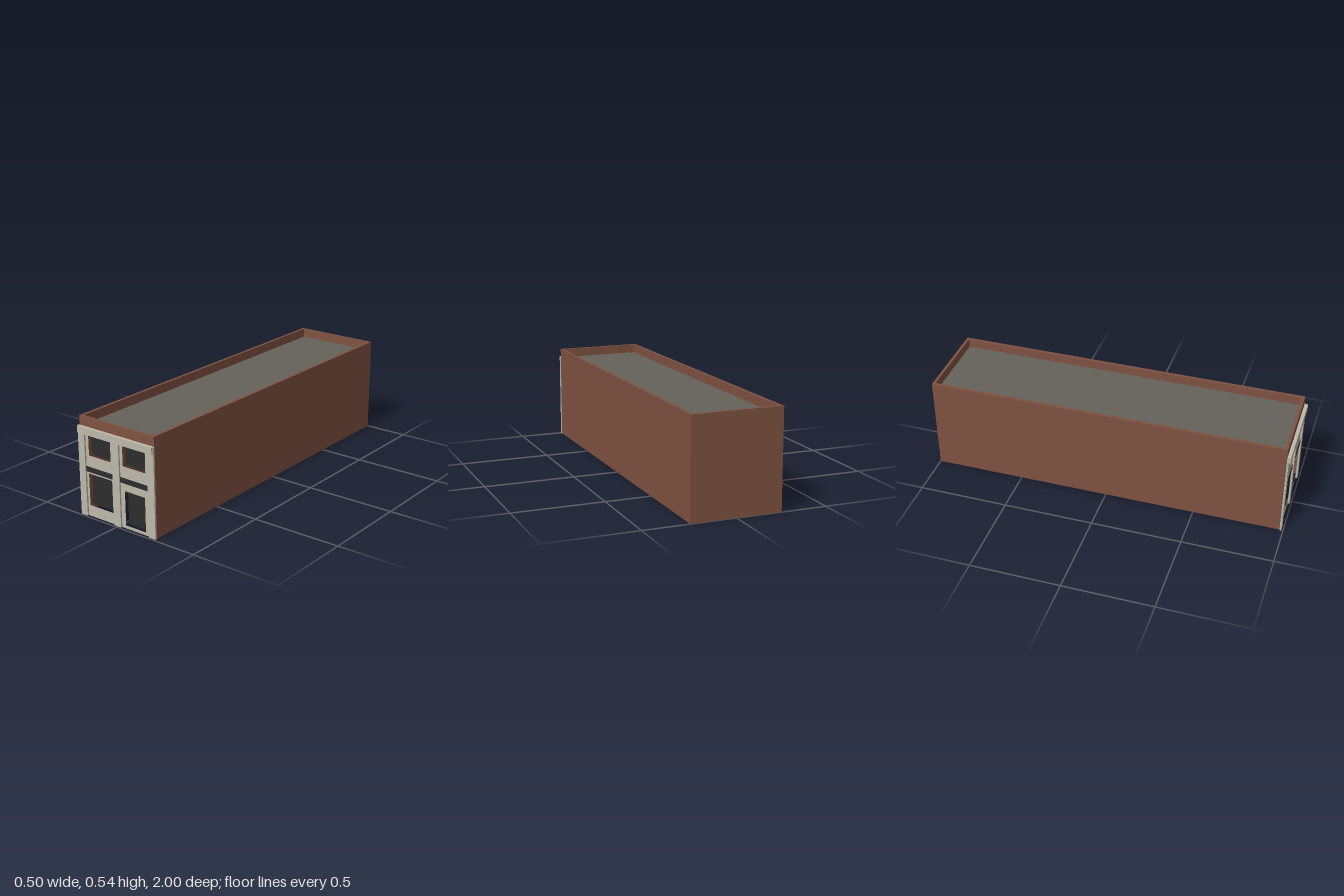
import * as THREE from 'three';

const mat = (name, color) => {
  const m = new THREE.MeshStandardMaterial({ color, side: THREE.DoubleSide });
  m.name = name;
  return m;
};

export function createModel() {
  const model = new THREE.Group();
  model.name = 'rowBuilding';
  const brick = mat('brick', 0x7f5241);
  const stone = mat('stone', 0xbdb8a9);
  const roofing = mat('roofing', 0x65625b);
  const glass = mat('darkGlass', 0x2d2d2d);

  const W = 0.248, BACK = -1, FRONT = 0.98, ROOF = 0.49, TOP = 0.54, T = 0.016;
  const MID = (FRONT + BACK) / 2, LEN = FRONT - BACK;

  const add = (name, geometry, material, parent = model) => {
    const mesh = new THREE.Mesh(geometry, material);
    mesh.name = name;
    parent.add(mesh);
    return mesh;
  };
  // Box given by its lower and upper limits
  const box = (name, material, x0, x1, y0, y1, z0, z1) =>
    add(name, new THREE.BoxGeometry(x1 - x0, y1 - y0, z1 - z0), material)
      .position.set((x0 + x1) / 2, (y0 + y1) / 2, (z0 + z1) / 2);

  // Thin shell: side and back walls, open underneath
  for (const [side, name] of [[1, 'leftWall'], [-1, 'rightWall']]) {
    const wall = add(name, new THREE.PlaneGeometry(LEN, ROOF), brick);
    wall.rotation.y = side * Math.PI / 2;
    wall.position.set(side * W, ROOF / 2, MID);
  }
  const back = add('backWall', new THREE.PlaneGeometry(2 * W, ROOF), brick);
  back.rotation.y = Math.PI;
  back.position.set(0, ROOF / 2, BACK);

  // Flat roof
  const roof = add('roof', new THREE.PlaneGeometry(2 * W - 0.004, LEN - 0.004), roofing);
  roof.rotation.x = -Math.PI / 2;
  roof.position.set(0, ROOF, MID);

  // Parapet: one ring standing on the walls
  const rect = (Cls, x0, x1, y0, y1) => new Cls().moveTo(x0, y0).lineTo(x1, y0).lineTo(x1, y1).lineTo(x0, y1).closePath();
  const ring = rect(THREE.Shape, -W, W, -LEN / 2, LEN / 2);
  ring.holes.push(rect(THREE.Path, -W + T, W - T, -LEN / 2 + T, LEN / 2 - T));
  const parapet = add('parapet', new THREE.ExtrudeGeometry(ring, { depth: TOP - ROOF, bevelEnabled: false }), brick);
  parapet.rotation.x = -Math.PI / 2;
  parapet.position.set(0, ROOF, MID);

  // Front wall sheet with openings; the panes sit a little behind it
  const openings = [
    ['upperRightWindow', -0.19, -0.041, 0.337, 0.465],
    ['upperLeftWindow', 0.04, 0.189, 0.337, 0.465],
    ['shopWindow', -0.196, -0.036, 0.061, 0.237],
    ['door', 0.049, 0.182, 0.017, 0.205],
  ];
  const sheet = rect(THREE.Shape, -0.25, 0.25, 0, ROOF);
  for (const [name, x0, x1, y0, y1] of openings) {
    sheet.holes.push(rect(THREE.Path, x0, x1, y0, y1));
    const pane = add(name, new THREE.PlaneGeometry(x1 - x0, y1 - y0), glass);
    pane.position.set((x0 + x1) / 2, (y0 + y1) / 2, 0.96);
  }
  add('frontWall', new THREE.ShapeGeometry(sheet), stone).position.z = 0.982;

  // Pilasters and cornice
  for (const [name, x0, x1] of [['rightPilaster', -0.253, -0.21], ['middlePilaster', -0.023, 0.022], ['leftPilaster', 0.209, 0.252]])
    box(name, stone, x0, x1, 0, ROOF, 0.981, 0.991);
  box('cornice', stone, -0.248, 0.248, 0.453, 0.4905, 0.981, 1);

  // Dark bands between the storeys
  box('rightBand', glass, -0.21, -0.023, 0.247, 0.275, 0.983, 0.986);
  box('leftBand', glass, 0.022, 0.209, 0.247, 0.275, 0.983, 0.986);

  return model;
}
